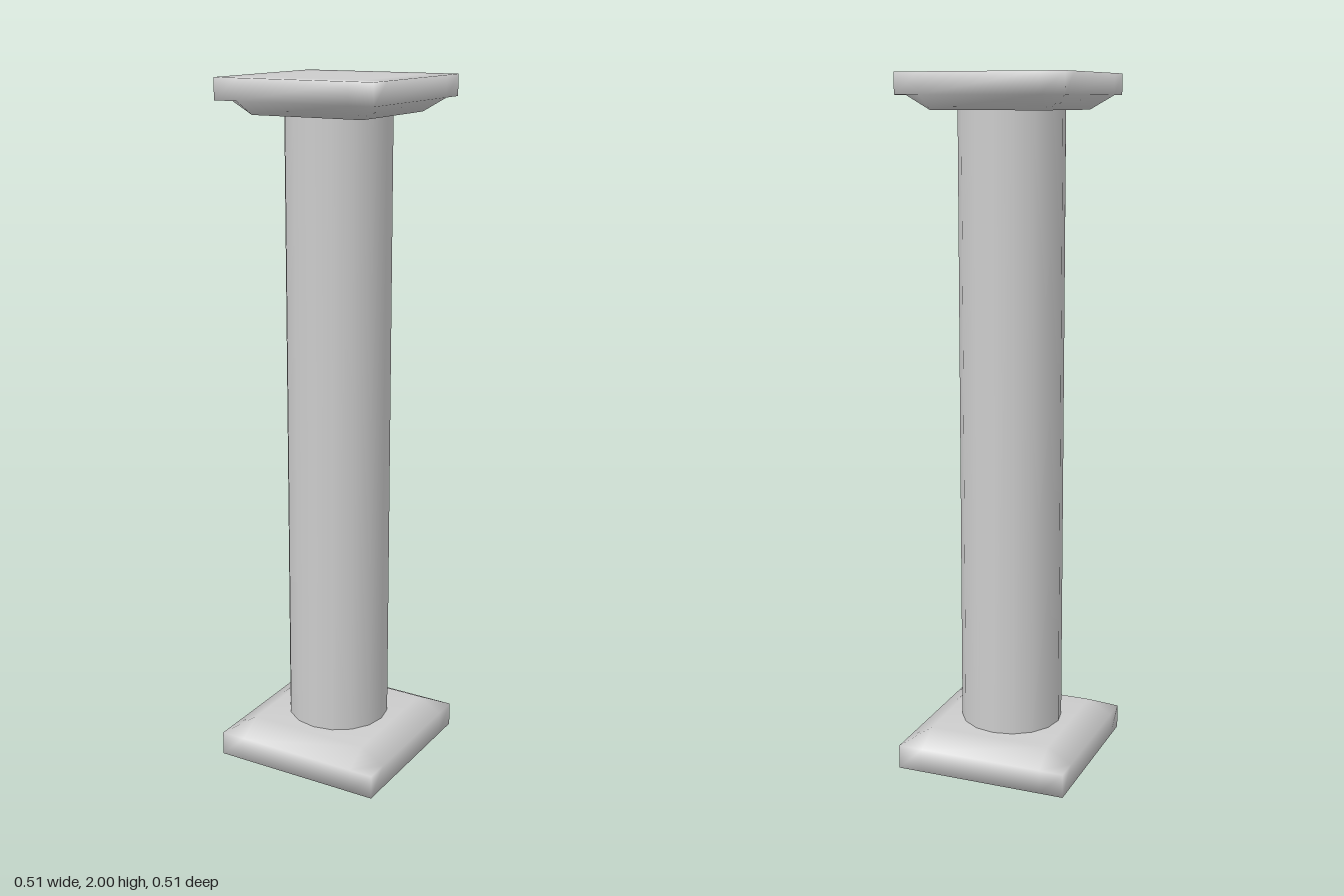
import * as THREE from 'three';
import { mergeVertices } from 'three/addons/utils/BufferGeometryUtils.js';

const grey = new THREE.MeshStandardMaterial({ color: 0xcccccc });

// Square slab with one bevelled face and soft, shared normals.
// outer / inner: half widths of the rim and of the flat centre.
function slab(name, outer, inner, height, side) {
  let geo = new THREE.BoxGeometry(3, 1, 3, 3, 1, 3);
  const p = geo.attributes.position;
  const place = v => Math.sign(v) * (Math.abs(v) > 1 ? outer : inner);
  for (let i = 0; i < p.count; i++) {
    const x = p.getX(i), z = p.getZ(i);
    const rim = Math.max(Math.abs(x), Math.abs(z)) > 1;
    const y = p.getY(i) < 0 ? 0 : rim ? side : height;
    p.setXYZ(i, place(x), y, place(z));
  }
  geo.deleteAttribute('normal');
  geo.deleteAttribute('uv');
  geo = mergeVertices(geo, 1e-4);
  geo.computeVertexNormals();
  const mesh = new THREE.Mesh(geo, grey);
  mesh.name = name;
  return mesh;
}

export function createModel() {
  const column = new THREE.Group();
  column.name = 'column';

  // Base, bevelled upwards
  column.add(slab('base', 0.256, 0.183, 0.11, 0.07));

  // Round shaft
  const shaft = new THREE.Mesh(new THREE.CylinderGeometry(0.15, 0.15, 1.82, 16, 1), grey);
  shaft.name = 'shaft';
  shaft.position.y = 1.0;
  column.add(shaft);

  // Capital, the same slab turned over
  const capital = slab('capital', 0.242, 0.17, 0.1, 0.06);
  capital.rotation.x = Math.PI;
  capital.position.y = 2;
  column.add(capital);

  return column;
}
